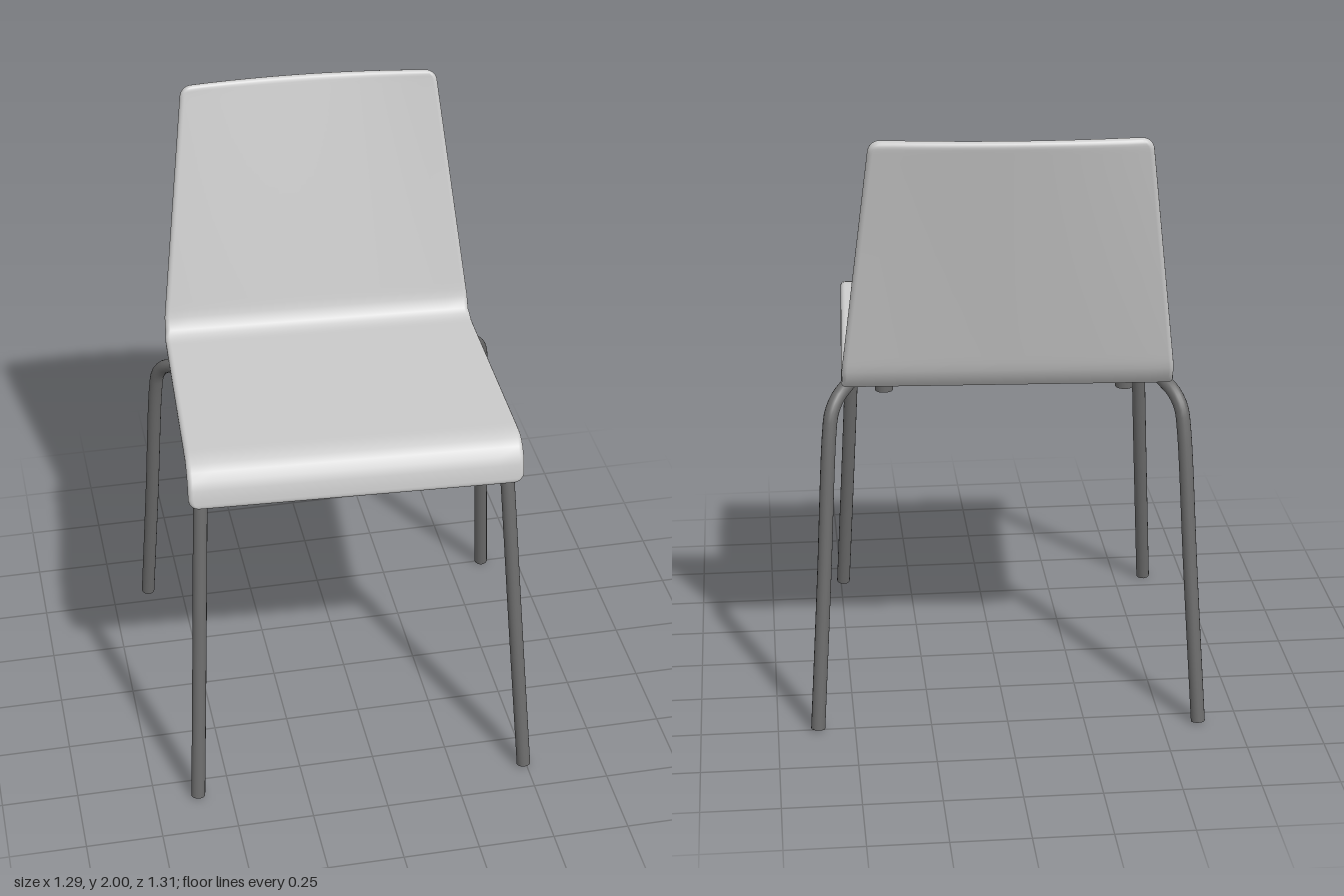
import * as THREE from 'three';

const V2 = (z, y) => new THREE.Vector2(z, y);
const V3 = (x, y, z) => new THREE.Vector3(x, y, z);

// Bent shell: a rounded slab section swept along the side profile
function shellGeometry() {
  const path = new THREE.CurvePath();
  path.add(new THREE.LineCurve(V2(0.486, 1.08), V2(0.48, 1.13)));
  path.add(new THREE.QuadraticBezierCurve(V2(0.48, 1.13), V2(0.468, 1.213), V2(0.38, 1.207)));
  path.add(new THREE.LineCurve(V2(0.38, 1.207), V2(-0.36, 1.152)));
  path.add(new THREE.QuadraticBezierCurve(V2(-0.36, 1.152), V2(-0.433, 1.147), V2(-0.452, 1.24)));
  path.add(new THREE.LineCurve(V2(-0.452, 1.24), V2(-0.61, 2)));
  const length = path.getLength();

  // Samples crowd together at both ends, where the corners are rounded
  const ends = [0, 0.0008, 0.002, 0.004, 0.007, 0.011, 0.016, 0.022];
  const us = [...ends];
  for (let i = 1; i < 70; i++) us.push(0.022 + (0.956 * i) / 70);
  us.push(...ends.map((u) => 1 - u).reverse());

  const half = 0.016, arc = 8, across = 16;
  const round = (d, r) => (d >= r ? r : Math.sqrt(r * r - (r - d) ** 2));
  const pos = [], index = [];
  let n = 0;
  for (const u of us) {
    const p = path.getPoint(u), t = path.getTangent(u);
    const d = Math.min(u, 1 - u) * length;
    const h = round(d, half);
    const corner = 0.035;
    const up = Math.max(0, p.y - 1.21) / 0.79;
    const full = p.x > -0.42 ? 0.525 + 0.01 * (p.x + 0.42) / 0.9 : 0.522 - 0.097 * up;
    const w = full - corner + round(d, corner);
    const ring = [];
    for (const side of [1, -1]) {
      for (let k = 0; k <= arc; k++) {
        const a = -Math.PI / 2 + (Math.PI * k) / arc;
        ring.push([side * (w - half + half * Math.cos(a)), side * h * Math.sin(a)]);
      }
      for (let k = 1; k < across; k++) ring.push([side * (w - half) * (1 - (2 * k) / across), side * h]);
    }
    n = ring.length;
    for (const [x, o] of ring) {
      // The backrest bows backwards, more towards the top
      const bow = 0.027 * up * (1 - (x / w) ** 2);
      pos.push(x, p.y - t.x * o, p.x + t.y * o - bow);
    }
  }
  for (let i = 0; i < us.length - 1; i++) {
    for (let j = 0; j < n; j++) {
      const a = i * n + j, b = i * n + ((j + 1) % n);
      index.push(a, a + n, b, b, a + n, b + n);
    }
  }
  const g = new THREE.BufferGeometry();
  g.setAttribute('position', new THREE.Float32BufferAttribute(pos, 3));
  g.setIndex(index);
  g.computeVertexNormals();
  return g;
}

export function createModel() {
  const model = new THREE.Group();
  model.name = 'chair';
  const shellMat = new THREE.MeshStandardMaterial({ color: 0xcccccc, side: THREE.DoubleSide });
  const frameMat = new THREE.MeshStandardMaterial({ color: 0x6a6a6a });

  const chair = new THREE.Group();
  chair.name = 'chairBody';
  chair.rotation.y = -0.051;
  chair.position.set(-0.027, 0, -0.0014);
  model.add(chair);

  const add = (name, geometry, material, x = 0, y = 0, z = 0) => {
    const mesh = new THREE.Mesh(geometry, material);
    mesh.name = name;
    mesh.position.set(x, y, z);
    chair.add(mesh);
    return mesh;
  };

  add('seatShell', shellGeometry(), shellMat);

  const R = 0.023;
  for (const s of [1, -1]) {
    const side = s > 0 ? 'left' : 'right';

    // One bent tube per side: front leg, rail under the seat, back leg
    const points = [
      [0.55, 0.004, 0.61], [0.52, 0.55, 0.517], [0.493, 1.06, 0.431], [0.489, 1.12, 0.418],
      [0.486, 1.155, 0.395], [0.485, 1.166, 0.35], [0.485, 1.142, 0.03], [0.487, 1.121, -0.23],
      [0.505, 1.112, -0.295], [0.535, 1.088, -0.34], [0.557, 1.045, -0.37], [0.566, 0.98, -0.387],
      [0.592, 0.5, -0.457], [0.621, 0.004, -0.529],
    ].map(([x, y, z]) => V3(s * x, y, z));
    const curve = new THREE.CatmullRomCurve3(points, false, 'centripetal');
    add(side + 'LegFrame', new THREE.TubeGeometry(curve, 140, R, 16), frameMat);

    // Closed ends on the floor
    for (const [end, name] of [[0, 'FrontFoot'], [1, 'BackFoot']]) {
      const p = curve.getPoint(end), t = curve.getTangent(end);
      const foot = add(side + name, new THREE.CylinderGeometry(R, R, 0.002, 16), frameMat, p.x, p.y, p.z);
      foot.quaternion.setFromUnitVectors(V3(0, 1, 0), t);
    }

    // Mounting pads with a wide flange against the seat
    for (const z of [0.275, -0.2]) {
      const under = 1.165 + 0.0743 * z;
      add(side + 'Pad', new THREE.CylinderGeometry(0.031, 0.029, 0.095, 20), frameMat, s * 0.39, under - 0.0475, z);
      add(side + 'PadFlange', new THREE.CylinderGeometry(0.055, 0.05, 0.03, 24), frameMat, s * 0.39, under - 0.015, z);
    }
  }

  // Cross bars joining the two rails
  for (const z of [0.275, -0.2]) {
    const bar = add('crossBar', new THREE.CylinderGeometry(0.018, 0.018, 0.97, 14), frameMat, 0, 1.14 + 0.0743 * z, z);
    bar.rotation.z = Math.PI / 2;
  }
  return model;
}
